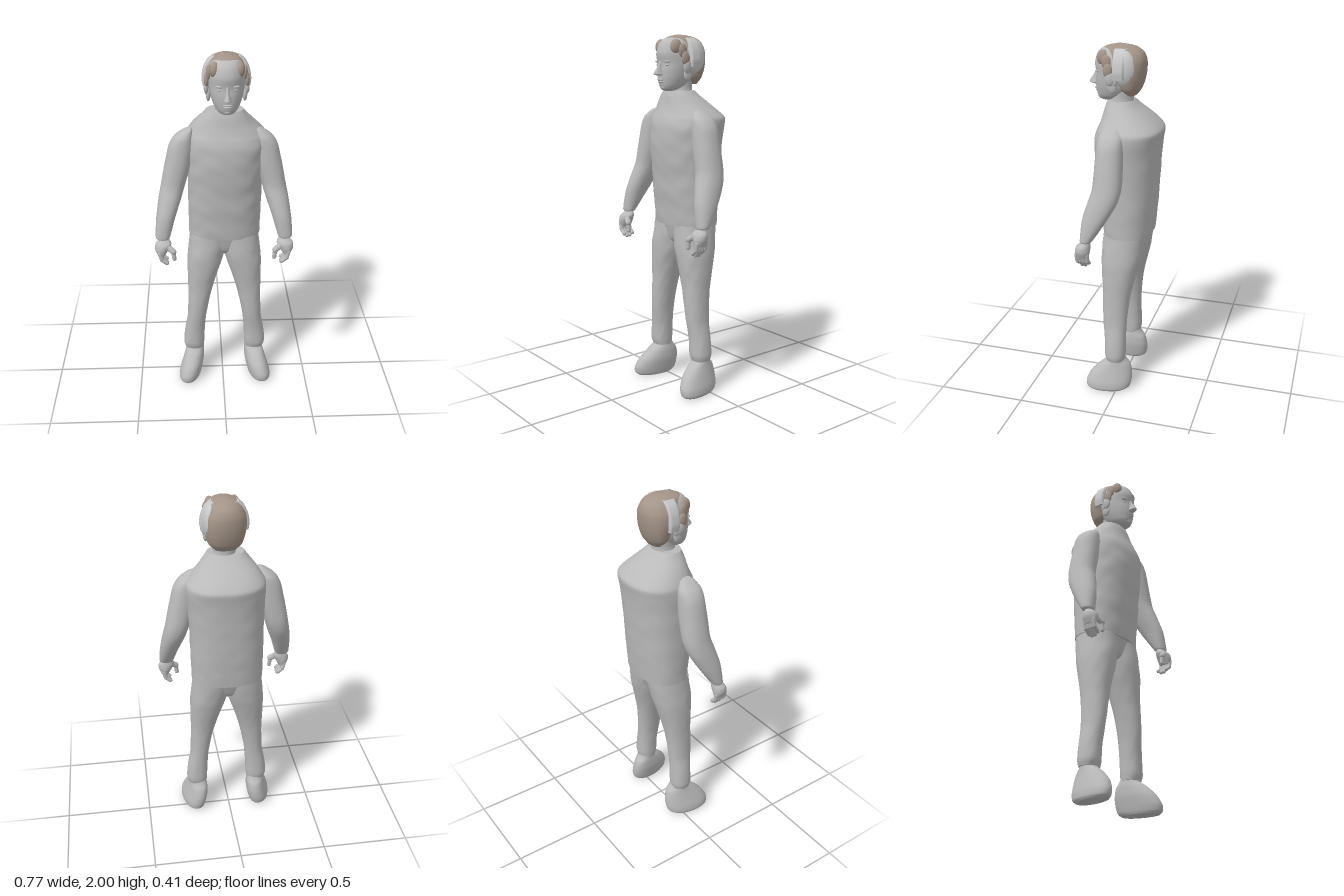
import * as THREE from 'three';

const body = new THREE.MeshStandardMaterial({ name: 'clothGrey', color: 0xbababa });
const hairMat = new THREE.MeshStandardMaterial({ name: 'hairBrown', color: 0xa39488 });
const pale = new THREE.MeshStandardMaterial({ name: 'paleGrey', color: 0xc8c8c8 });

// Smooth closed body through horizontal slices [y, xMin, xMax, zMin, zMax], listed bottom to top
function loft(slices, { n = 40, steps = 6, power = 2, shear = 0, bump = null } = {}) {
  const curve = (f) => new THREE.CatmullRomCurve3(slices.map(f), false, 'catmullrom', 0.4);
  const centre = curve(([y, a, b, c, d]) => new THREE.Vector3((a + b) / 2, y, (c + d) / 2));
  const size = curve(([, a, b, c, d]) => new THREE.Vector3((b - a) / 2, 0, (d - c) / 2));
  const pos = [], index = [], rows = (slices.length - 1) * steps;
  const round = (v) => Math.sign(v) * Math.abs(v) ** (2 / power);
  const ring = (t) => {
    const p = centre.getPoint(t), r = size.getPoint(t);
    for (let j = 0; j < n; j++) {
      const a = (j / n) * Math.PI * 2;
      const k = 1 + (bump ? bump(a, p.y) : 0);
      const z = p.z + Math.max(r.z, 0.001) * round(Math.cos(a)) * k;
      pos.push(p.x + Math.max(r.x, 0.001) * round(Math.sin(a)) * k + shear * z, p.y, z);
    }
    return p;
  };
  for (let i = 0; i <= rows; i++) ring(i / rows);
  for (let i = 0; i < rows; i++) for (let j = 0; j < n; j++) {
    const a = i * n + j, b = i * n + (j + 1) % n;
    index.push(a, b, b + n, a, b + n, a + n);
  }
  // end caps on their own rings, so the rims stay crisp
  for (const t of [0, 1]) {
    const start = pos.length / 3, p = ring(t), mid = pos.length / 3;
    pos.push(p.x + shear * p.z, p.y, p.z);
    for (let j = 0; j < n; j++) {
      const a = start + j, b = start + (j + 1) % n;
      if (t) index.push(mid, a, b); else index.push(mid, b, a);
    }
  }
  const g = new THREE.BufferGeometry();
  g.setAttribute('position', new THREE.Float32BufferAttribute(pos, 3));
  g.setIndex(index);
  g.computeVertexNormals();
  return g;
}

function add(parent, name, geometry, material = body) {
  const m = new THREE.Mesh(geometry, material);
  m.name = name;
  parent.add(m);
  return m;
}

function blob(parent, name, [x, y, z], [rx, ry, rz], material = body) {
  add(parent, name, new THREE.SphereGeometry(1, 20, 14).scale(rx, ry, rz).translate(x, y, z), material);
}

// Capsule between two points
function finger(parent, name, from, to, r) {
  const a = new THREE.Vector3(...from), b = new THREE.Vector3(...to);
  const m = add(parent, name, new THREE.CapsuleGeometry(r, a.distanceTo(b), 5, 10));
  m.position.copy(a).add(b).multiplyScalar(0.5);
  m.quaternion.setFromUnitVectors(new THREE.Vector3(0, 1, 0), b.sub(a).normalize());
}

// Slices are given for the right side (-x); side +1 mirrors them about mid
const flip = (slices, side, mid) => side < 0 ? slices
  : slices.map(([y, a, b, c, d]) => [y, 2 * mid - b, 2 * mid - a, c, d]);

// Short cloth creases, strongest at the front
const wrinkle = (amount) => (a, y) => amount * (0.4 + 0.6 * Math.max(0, Math.cos(a)))
  * (Math.sin(y * 53 + 2 * Math.sin(a * 3)) * Math.sin(a * 5 + y * 9) + 0.7 * Math.sin(y * 34 + Math.sin(a * 4)));

function addHead(root) {
  const head = new THREE.Group();
  head.name = 'head';
  root.add(head);
  add(head, 'neck', loft([
    [1.66, -0.05, 0.09, -0.045, 0.1], [1.72, -0.04, 0.08, -0.04, 0.085], [1.79, -0.045, 0.085, -0.05, 0.08]]));
  add(head, 'face', loft([
    [1.7, 0, 0.04, 0.09, 0.125], [1.708, -0.02, 0.06, 0.05, 0.147], [1.73, -0.042, 0.082, 0, 0.158],
    [1.77, -0.06, 0.1, -0.04, 0.165], [1.81, -0.07, 0.11, -0.06, 0.166], [1.85, -0.077, 0.117, -0.08, 0.163],
    [1.9, -0.078, 0.118, -0.09, 0.17], [1.95, -0.068, 0.108, -0.08, 0.155], [1.98, -0.045, 0.085, -0.04, 0.125],
    [1.99, 0, 0.04, 0.02, 0.08]], { power: 2.1 }));
  // nose: a tapering wedge, widest at the nostrils
  add(head, 'nose', loft([
    [1.783, 0.004, 0.036, 0.15, 0.182], [1.79, -0.001, 0.041, 0.14, 0.205], [1.803, 0.004, 0.036, 0.14, 0.202],
    [1.83, 0.01, 0.03, 0.14, 0.183], [1.86, 0.01, 0.03, 0.14, 0.168]], { n: 18 }));
  blob(head, 'upperLip', [0.02, 1.762, 0.16], [0.026, 0.006, 0.014]);
  blob(head, 'lowerLip', [0.02, 1.75, 0.157], [0.022, 0.006, 0.014]);
  blob(head, 'chin', [0.02, 1.722, 0.138], [0.026, 0.018, 0.019]);
  for (const s of [-1, 1]) {
    blob(head, 'eye', [0.02 + s * 0.036, 1.84, 0.146], [0.017, 0.007, 0.011]);
    blob(head, 'brow', [0.02 + s * 0.037, 1.858, 0.146], [0.026, 0.007, 0.016]);
    blob(head, 'ear', [0.02 + s * 0.1, 1.825, 0.04], [0.013, 0.037, 0.022]);
    // loose locks beside the temples
    for (let i = 0; i < 4; i++) {
      blob(head, 'sideLock', [0.02 + s * (0.096 + 0.012 * Math.sin(i * 1.1)), 1.79 + i * 0.042, 0.05 + i * 0.011],
        [0.013, 0.038, 0.026], i > 1 ? hairMat : body);
    }
    // swept locks at either side of the forehead
    blob(head, 'forelock', [0.02 + s * 0.066, 1.935, 0.108], [0.026, 0.042, 0.034], hairMat);
  }
  // hair: full at the crown, receding behind the ears lower down
  add(head, 'hair', loft([
    [1.735, -0.035, 0.075, -0.06, -0.01], [1.77, -0.07, 0.11, -0.085, 0.03], [1.82, -0.085, 0.125, -0.102, 0.05],
    [1.87, -0.092, 0.132, -0.11, 0.075], [1.92, -0.088, 0.128, -0.11, 0.095], [1.96, -0.07, 0.11, -0.095, 0.118],
    [1.985, -0.046, 0.086, -0.06, 0.112], [2, 0, 0.04, 0, 0.06]],
    { power: 2.1, bump: (a, y) => 0.008 * Math.sin(a * 16 + y * 15) }), hairMat);
  // pale band standing out above each ear
  add(head, 'headBand', loft([
    [1.83, -0.105, 0.145, -0.022, 0.048], [1.87, -0.11, 0.15, -0.022, 0.048], [1.92, -0.101, 0.141, -0.022, 0.048],
    [1.96, -0.081, 0.121, -0.022, 0.048], [1.985, -0.054, 0.094, -0.022, 0.048]], { power: 7 }), pale);
  blob(head, 'leftTemplePatch', [0.09, 1.88, -0.01], [0.05, 0.098, 0.068], pale);
}

function addArm(root, side) {
  const arm = new THREE.Group();
  arm.name = side < 0 ? 'rightArm' : 'leftArm';
  root.add(arm);
  const mid = 0.004, mx = (x) => side < 0 ? x : 2 * mid - x;
  add(arm, 'sleeve', loft(flip([
    [0.985, -0.365, -0.305, 0.11, 0.162], [1, -0.377, -0.295, 0.095, 0.166], [1.1, -0.371, -0.265, 0.03, 0.16],
    [1.2, -0.356, -0.23, -0.025, 0.135], [1.28, -0.34, -0.205, -0.045, 0.112], [1.4, -0.316, -0.172, -0.045, 0.106],
    [1.5, -0.292, -0.158, -0.042, 0.1], [1.55, -0.262, -0.158, -0.035, 0.092], [1.585, -0.215, -0.16, -0.01, 0.072],
    [1.598, -0.185, -0.166, 0.015, 0.055]], side, mid), { power: 2.2, bump: wrinkle(0.006) }));
  add(arm, 'palm', loft(flip([
    [0.895, -0.368, -0.325, 0.12, 0.19], [0.93, -0.382, -0.305, 0.112, 0.195], [0.96, -0.38, -0.29, 0.112, 0.188],
    [0.985, -0.358, -0.302, 0.115, 0.16], [1.01, -0.35, -0.31, 0.115, 0.155]], side, mid), { n: 24 }));
  for (let i = 0; i < 4; i++) {
    const z = 0.126 + i * 0.019, low = 0.842 + (i % 3 ? 0 : 0.012);
    finger(arm, 'finger', [mx(-0.355), 0.915, z], [mx(-0.345), 0.875, z], 0.012);
    finger(arm, 'fingertip', [mx(-0.345), 0.875, z], [mx(-0.318), low, z], 0.011);
  }
  finger(arm, 'thumb', [mx(-0.315), 0.95, 0.165], [mx(-0.28), 0.925, 0.18], 0.017);
  finger(arm, 'thumbTip', [mx(-0.28), 0.925, 0.18], [mx(-0.275), 0.88, 0.18], 0.012);
}

function addLeg(root, side) {
  const leg = new THREE.Group();
  leg.name = side < 0 ? 'rightLeg' : 'leftLeg';
  root.add(leg);
  const mid = 0.01;
  add(leg, 'trouserLeg', loft(flip([
    [0.185, -0.228, -0.115, -0.035, 0.068], [0.22, -0.235, -0.112, -0.042, 0.078], [0.3, -0.228, -0.108, -0.042, 0.08],
    [0.4, -0.21, -0.1, -0.043, 0.09], [0.5, -0.205, -0.083, -0.05, 0.098], [0.6, -0.203, -0.06, -0.062, 0.098],
    [0.7, -0.205, -0.03, -0.085, 0.106], [0.8, -0.203, 0.002, -0.11, 0.113], [0.88, -0.195, 0.022, -0.125, 0.112],
    [0.96, -0.185, 0.035, -0.135, 0.105]], side, mid), { power: 2.2, bump: wrinkle(0.012) }));
  // boot: broad rounded toe turned slightly outward
  add(leg, 'boot', loft(flip([
    [0, -0.248, -0.135, -0.05, 0.165], [0.015, -0.255, -0.128, -0.07, 0.18], [0.05, -0.252, -0.12, -0.08, 0.182],
    [0.1, -0.238, -0.112, -0.08, 0.158], [0.15, -0.224, -0.113, -0.068, 0.11], [0.18, -0.218, -0.117, -0.045, 0.07],
    [0.21, -0.21, -0.122, -0.03, 0.055]], side, mid), { power: 2.2, shear: side * 0.14 }));
}

export function createModel() {
  const root = new THREE.Group();
  root.name = 'standingMan';
  // tunic with sloping shoulders
  add(root, 'tunic', loft([
    [0.955, -0.19, 0.213, -0.158, 0.118], [1.1, -0.192, 0.217, -0.172, 0.135], [1.25, -0.192, 0.22, -0.182, 0.15],
    [1.4, -0.195, 0.23, -0.192, 0.165], [1.5, -0.198, 0.24, -0.202, 0.163], [1.55, -0.196, 0.237, -0.208, 0.15],
    [1.58, -0.182, 0.215, -0.186, 0.138], [1.62, -0.155, 0.178, -0.14, 0.125], [1.67, -0.112, 0.134, -0.075, 0.112],
    [1.702, -0.088, 0.11, -0.04, 0.1]], { n: 56, steps: 10, power: 2.3, bump: wrinkle(0.009) }));
  // seat of the trousers, bridging the two legs
  add(root, 'hips', loft([
    [0.835, 0, 0.02, -0.07, 0.05], [0.87, -0.1, 0.12, -0.1, 0.082], [0.96, -0.18, 0.2, -0.135, 0.104]],
    { power: 2.3 }));
  addHead(root);
  for (const side of [-1, 1]) {
    addArm(root, side);
    addLeg(root, side);
  }
  return root;
}
